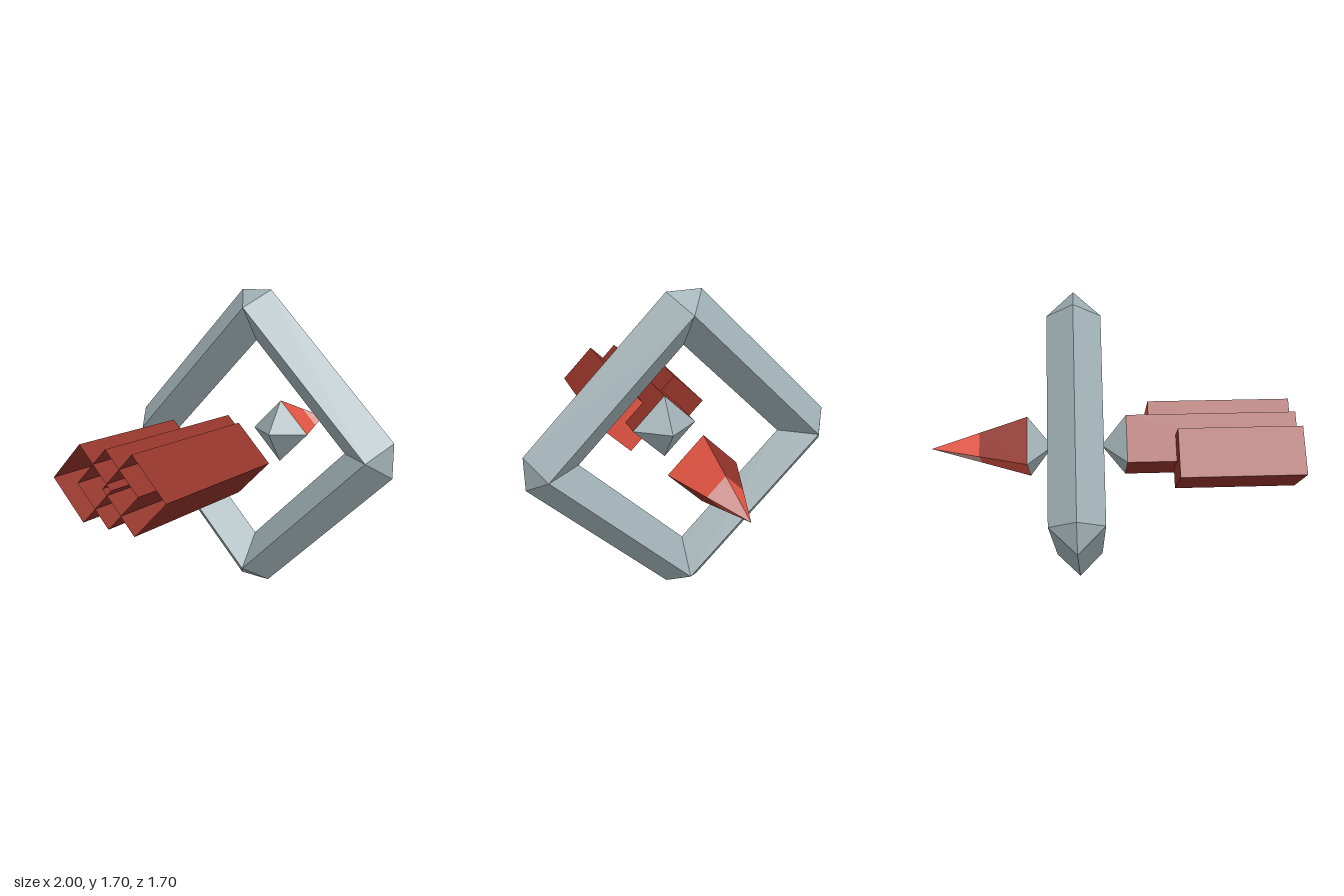
import * as THREE from 'three';

const CY = 0.85; // height of the long axis
const R = 0.188; // half diagonal of the square body section

// Flat-shaded mesh from convex polygons given as corner lists
function polyMesh(name, polys, material) {
  const pos = [];
  const v = polys.map((p) => p.map((c) => new THREE.Vector3(...c)));
  for (const p of v) {
    for (let i = 1; i < p.length - 1; i++) {
      const tri = new THREE.Triangle(p[0], p[i], p[i + 1]);
      if (tri.getArea() < 1e-8) continue;
      for (const q of [tri.a, tri.b, tri.c]) pos.push(q.x, q.y, q.z);
    }
  }
  const geo = new THREE.BufferGeometry();
  geo.setAttribute('position', new THREE.Float32BufferAttribute(pos, 3));
  geo.computeVertexNormals();
  const mesh = new THREE.Mesh(geo, material);
  mesh.name = name;
  return mesh;
}

// Corner k of the diamond section: 0 top, 1 front, 2 bottom, 3 back
const corner = (x, r, k) => [x, r * [1, 0, -1, 0][k % 4], r * [0, 1, 0, -1][k % 4]];

// Side k of a tapered four-sided body along x
const side = (x0, r0, x1, r1, k) =>
  [corner(x0, r0, k), corner(x0, r0, k + 1), corner(x1, r1, k + 1), corner(x1, r1, k)];

const ALL = [0, 1, 2, 3];
const loft = (x0, r0, x1, r1, sides = ALL) => sides.map((k) => side(x0, r0, x1, r1, k));

export function createModel() {
  const mat = (name, color) => {
    const m = new THREE.MeshStandardMaterial({ color });
    m.name = name;
    return m;
  };
  const grey = mat('grey', 0xa0b0b5);
  const darkRed = mat('dark red', 0x923329);
  darkRed.side = THREE.DoubleSide;
  const red = mat('bright red', 0xe25442);
  const pink = mat('pink', 0xe4a5a0);

  const model = new THREE.Group();
  model.name = 'model';
  const axis = new THREE.Group();
  axis.name = 'body';
  axis.position.y = CY;
  model.add(axis);

  // Square ring standing on one corner, with clipped outer corners
  const ring = new THREE.Group();
  ring.name = 'ring';
  ring.position.x = 0.2;
  const outer = 0.848, ridge = 0.755, inner = 0.57, clip = 0.094, half = 0.136;
  const bar = [];
  for (const s of [1, -1]) {
    const rA = [s * half, ridge, 0], rB = [s * half, 0, ridge];
    const oA = [0, outer, clip], oB = [0, clip, outer];
    const faces = [
      [oB, rB, rA, oA],
      [rA, rB, [0, 0, inner], [0, inner, 0]],
      [rA, [0, outer, -clip], oA],
    ];
    for (const f of faces) bar.push(s > 0 ? f : f.reverse());
  }
  for (let i = 0; i < 4; i++) {
    const m = polyMesh('ringBar', bar, grey);
    m.rotation.x = (i * Math.PI) / 2;
    ring.add(m);
  }
  axis.add(ring);

  // Three tail tubes, open at the far end and capped toward the ring
  const tubes = [
    ['middleTube', 0, -0.07, darkRed],
    ['frontTube', 0.16, -0.2, red],
    ['rearTube', -0.163, -0.335, darkRed],
  ];
  for (const [name, z, end, capMat] of tubes) {
    const tube = new THREE.Group();
    tube.name = name;
    tube.position.z = z;
    tube.add(polyMesh(name + 'Walls', loft(-1, R, end, R), darkRed));
    tube.add(polyMesh(name + 'Cap', [ALL.map((k) => corner(end, R, k))], capMat));
    axis.add(tube);
  }

  // Grey pyramids pointing at the ring from both sides
  axis.add(polyMesh('tailPyramid', loft(-0.07, R, 0.064, 0), grey));
  axis.add(polyMesh('headPyramid', loft(0.336, 0, 0.465, R), grey));

  // Spike with alternating side colours, lighter toward the tip
  const mid = 0.73, rMid = (R * (1 - mid)) / (1 - 0.465);
  axis.add(polyMesh('spikeBaseLight', loft(0.465, R, mid, rMid, [0, 2]), red));
  axis.add(polyMesh('spikeBaseDark', loft(0.465, R, mid, rMid, [1, 3]), darkRed));
  axis.add(polyMesh('spikeTipLight', loft(mid, rMid, 1, 0, [0, 2]), pink));
  axis.add(polyMesh('spikeTipDark', loft(mid, rMid, 1, 0, [1, 3]), red));

  return model;
}
